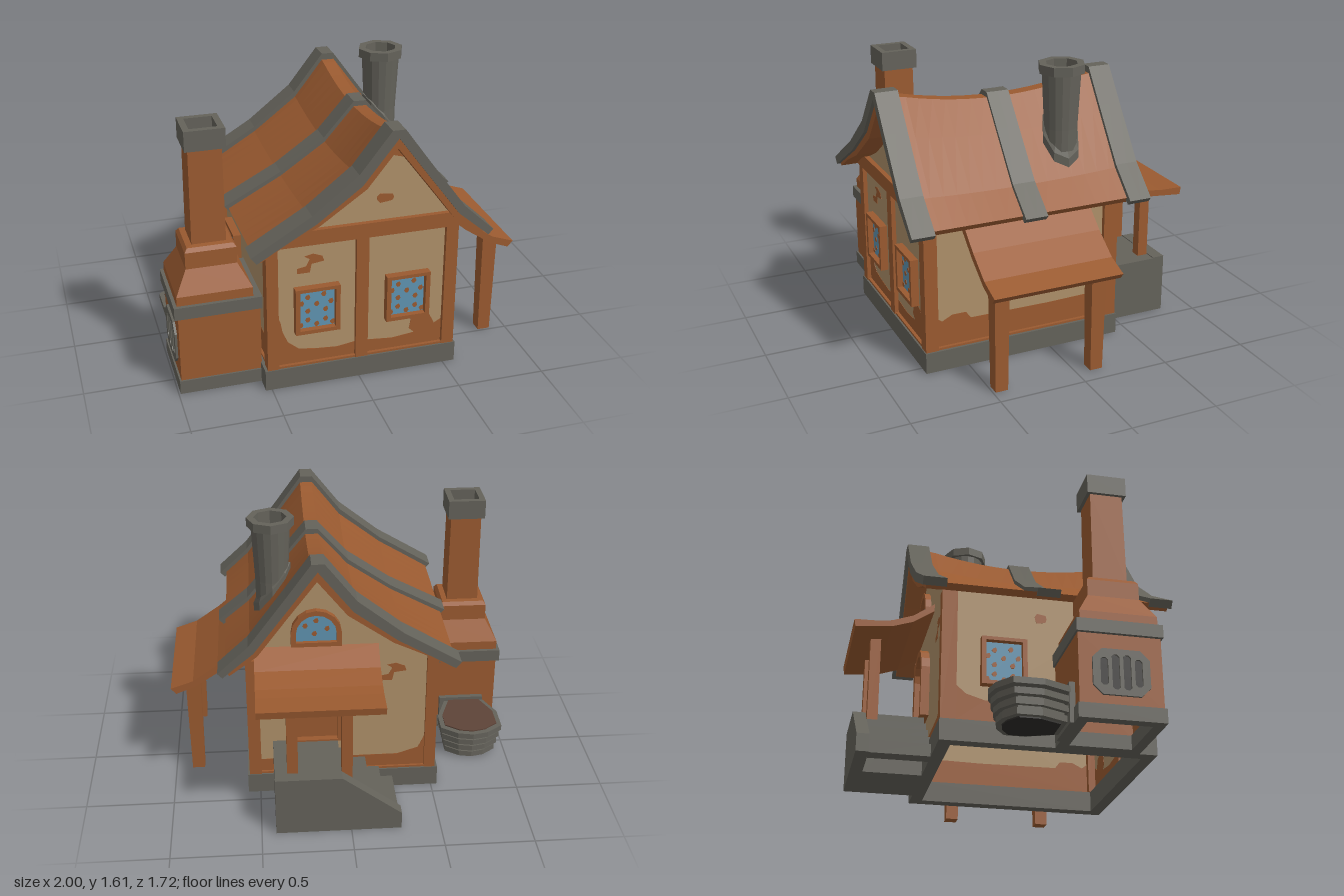
import * as THREE from 'three';

const mat = (name, color) => {
  const m = new THREE.MeshStandardMaterial({ color });
  m.name = name;
  return m;
};

export function createModel() {
  const wood = mat('brown wood', 0x9a5a30), plaster = mat('tan plaster', 0xae9069);
  const stone = mat('grey stone', 0x64625a), glass = mat('blue glass', 0x5f93b0);
  const leather = mat('dark leather', 0x5e4438), soot = mat('soot', 0x2e2c29), ember = mat('ember orange', 0xd8821f);
  const root = new THREE.Group();

  // ---- helpers ----
  const add = (name, geo, material, parent = root) => {
    const m = new THREE.Mesh(geo, material);
    m.name = name;
    parent.add(m);
    return m;
  };
  // box given by its limits
  const box = (name, material, x0, x1, y0, y1, z0, z1, parent = root) => {
    const g = new THREE.BoxGeometry(x1 - x0, y1 - y0, z1 - z0);
    g.translate((x0 + x1) / 2, (y0 + y1) / 2, (z0 + z1) / 2);
    return add(name, g, material, parent);
  };
  const shapeOf = (pts, ...holes) => {
    const s = new THREE.Shape(pts.map(p => new THREE.Vector2(...p)));
    for (const h of holes) s.holes.push(new THREE.Path(h.map(p => new THREE.Vector2(...p))));
    return s;
  };
  const rect = (x0, x1, y0, y1) => [[x0, y0], [x1, y0], [x1, y1], [x0, y1]];
  const slab = (shape, z0, z1, steps = 1) => {
    const g = new THREE.ExtrudeGeometry(shape, { depth: z1 - z0, bevelEnabled: false, steps });
    return g.translate(0, 0, z0);
  };
  // outline in x and -z, raised from y0 to y1
  const raised = (shape, y0, y1) => slab(shape, y0, y1).rotateX(-Math.PI / 2);
  const ring = (name, material, x0, x1, y0, y1, z0, z1, t) =>
    add(name, raised(shapeOf(rect(x0, x1, -z1, -z0), rect(x0 + t, x1 - t, t - z1, -z0 - t)), y0, y1), material);
  const turned = (pts, sides, start = 0, k = 1) => {
    const g = new THREE.LatheGeometry(pts.map(p => new THREE.Vector2(p[0] * k, p[1])), sides, start).toNonIndexed();
    g.computeVertexNormals();
    return g;
  };
  const blob = (cx, cy, rx, ry, n = 9) => Array.from({ length: n }, (_, i) => {
    const a = i / n * Math.PI * 2, r = 1 + 0.15 * Math.sin(i * 2.4);
    return [cx + rx * r * Math.cos(a), cy + ry * r * Math.sin(a)];
  });
  const arch = (cx, w, y0, y1) => {
    const pts = [[cx - w, y0], [cx + w, y0]];
    for (let i = 0; i <= 8; i++) {
      const a = i / 8 * Math.PI;
      pts.push([cx + w * Math.cos(a), y1 - w * (1 - Math.sin(a))]);
    }
    return pts;
  };

  // ---- foundation and frame ----
  ring('foundation', stone, -0.535, 0.57, 0, 0.12, -0.425, 0.75, 0.07);
  ring('sill', wood, -0.515, 0.555, 0.115, 0.132, -0.415, 0.74, 0.03);
  for (const [x0, x1] of [[-0.52, -0.455], [0.49, 0.56]])
    for (const [z0, z1] of [[0.67, 0.745], [-0.42, -0.335]])
      box('cornerPost', wood, x0, x1, 0.12, 0.875, z0, z1);
  box('frontPost', wood, -0.02, 0.05, 0.12, 0.87, 0.7, 0.745);
  add('gableBeam', slab(shapeOf([[-0.56, 0.86], [0.6, 0.86], [0.53, 0.945], [-0.44, 0.945]]), 0.7, 0.748), wood);

  // ---- walls; each side is a group with its own outward z ----
  const side = (name, angle) => {
    const g = new THREE.Group();
    g.name = name;
    g.rotation.y = angle;
    root.add(g);
    return g;
  };
  const front = side('frontWall', 0), back = side('backWall', Math.PI);
  const right = side('rightHandWall', Math.PI / 2), left = side('leftHandWall', -Math.PI / 2);
  const wall = (g, pts, d) => add('plasterWall', slab(shapeOf(pts), d - 0.006, d), plaster, g);
  const patch = (g, pts, d) => add('barePatch', slab(shapeOf(pts), d - 0.0075, d + 0.0018), wood, g);
  const gable = [[-0.5, 0.1], [0.54, 0.1], [0.54, 0.92], [0.45, 1.04], [0.32, 1.21], [0.165, 1.42],
    [0, 1.21], [-0.25, 1.03], [-0.5, 0.9]];
  wall(front, gable, 0.72);
  wall(back, gable.map(([x, y]) => [-x, y]).reverse(), 0.4);
  wall(right, rect(-0.72, 0.4, 0.1, 0.92), 0.535);
  wall(left, rect(-0.4, 0.72, 0.1, 0.92), 0.5);

  // bare patches in the plaster
  patch(front, [[-0.46, 0.12], [-0.02, 0.12], [-0.02, 0.21], [-0.12, 0.195], [-0.25, 0.205], [-0.34, 0.22],
    [-0.4, 0.27], [-0.43, 0.34], [-0.44, 0.4], [-0.46, 0.45]], 0.72);
  patch(front, [[0.04, 0.12], [0.5, 0.12], [0.5, 0.28], [0.45, 0.25], [0.42, 0.31], [0.36, 0.33], [0.31, 0.3],
    [0.3, 0.24], [0.33, 0.21], [0.2, 0.195], [0.04, 0.21]], 0.72);
  const streak = (cx, cy) => [[-0.08, -0.05], [-0.01, -0.05], [0, 0], [0.07, 0.01], [0.06, 0.04], [0.01, 0.06],
    [-0.04, 0.05], [-0.01, 0.03], [-0.03, -0.01], [-0.08, -0.02]].map(([x, y]) => [cx + x, cy + y]);
  patch(front, streak(-0.265, 0.735), 0.72);
  patch(front, blob(0.14, 1.07, 0.05, 0.027), 0.72);
  patch(front, [[0.08, 1.31], [0.13, 1.325], [0.18, 1.31], [0.25, 1.29], [0.165, 1.42]], 0.72);
  patch(right, [[-0.68, 0.12], [0.35, 0.12], [0.35, 0.33], [0.31, 0.31], [0.27, 0.27], [0, 0.265], [-0.47, 0.27],
    [-0.5, 0.31], [-0.58, 0.31], [-0.64, 0.28], [-0.68, 0.31]], 0.535);
  patch(right, blob(0.12, 0.72, 0.04, 0.03), 0.535);
  patch(left, [[-0.35, 0.12], [0.68, 0.12], [0.68, 0.27], [0.1, 0.26], [-0.18, 0.25], [-0.28, 0.28], [-0.35, 0.34]], 0.5);
  patch(left, blob(0.13, 0.76, 0.035, 0.03), 0.5);
  patch(back, [[-0.5, 0.12], [0.46, 0.12], [0.46, 0.34], [0.42, 0.25], [0.3, 0.21], [-0.5, 0.21]], 0.4);
  patch(back, streak(0.27, 0.76), 0.4);

  // ---- windows and door ----
  const opening = (g, name, outer, inner, d, depth, fill) => {
    add(name + 'Frame', slab(shapeOf(outer, inner), d - 0.01, d + depth), wood, g);
    add(name + 'Panel', slab(shapeOf(inner), d + 0.004, d + 0.012), fill, g);
  };
  const spots = (g, cx, cy, d, list) => {
    for (const [x, y] of list) add('windowSpot', slab(shapeOf(blob(cx + x, cy + y, 0.014, 0.017, 6)), d + 0.01, d + 0.015), wood, g);
  };
  const lattice = [[-0.05, 0.07], [0.04, 0.08], [-0.085, 0.035], [0, 0.025], [0.08, 0.03], [-0.05, -0.015],
    [0.05, -0.015], [-0.05, -0.07], [0.05, -0.075], [0, -0.1], [-0.09, -0.1], [0.09, -0.1]];
  const squareWindow = (g, cx, d) => {
    opening(g, 'window', rect(cx - 0.125, cx + 0.125, 0.33, 0.607), rect(cx - 0.1, cx + 0.1, 0.352, 0.587), d, 0.045, glass);
    spots(g, cx, 0.47, d, lattice);
  };
  squareWindow(front, -0.24, 0.72);
  squareWindow(front, 0.275, 0.72);
  squareWindow(left, -0.08, 0.5);
  opening(back, 'atticWindow', arch(-0.165, 0.14, 0.96, 1.18), arch(-0.165, 0.112, 0.985, 1.152), 0.4, 0.035, glass);
  spots(back, -0.165, 1.06, 0.4, [[-0.06, 0.02], [0, 0.05], [0.06, 0], [-0.01, -0.03]]);
  opening(back, 'door', arch(-0.165, 0.15, 0.35, 0.8), arch(-0.165, 0.115, 0.36, 0.765), 0.4, 0.05, wood);

  // ---- sagging roof with stone bands ----
  const roofPiece = (name, pts, material, z0, z1, steps) => {
    const g = slab(shapeOf(pts), z0, z1, steps), p = g.attributes.position;
    for (let i = 0; i < p.count; i++) {
      const t = Math.min(1, Math.abs((p.getZ(i) - 0.16) / 0.57));
      p.setY(i, p.getY(i) - 0.07 * (1 - t * t) * Math.max(0, (p.getY(i) - 0.87) / 0.6));
    }
    g.computeVertexNormals();
    add(name, g, material);
  };
  const tiles = [[-0.6, 0.875], [-0.3, 1.058], [-0.045, 1.255], [0.122, 1.472], [0.195, 1.472], [0.33, 1.285], [0.53, 1.01], [0.67, 0.878],
    [0.645, 0.845], [0.49, 0.96], [0.33, 1.175], [0.163, 1.395], [0, 1.19], [-0.25, 1.015], [-0.44, 0.925], [-0.57, 0.847]].reverse();
  const band = [[-0.625, 0.89], [-0.3, 1.085], [-0.05, 1.283], [0.123, 1.505], [0.193, 1.505], [0.33, 1.315], [0.54, 1.03], [0.71, 0.872],
    [0.683, 0.843], [0.51, 0.99], [0.3, 1.27], [0.16, 1.46], [-0.03, 1.22], [-0.27, 1.04], [-0.595, 0.852]].reverse();
  roofPiece('roof', tiles, wood, -0.52, 0.84, 18);
  for (const [z0, z1] of [[0.73, 0.86], [0.09, 0.22], [-0.54, -0.41]]) roofPiece('roofBand', band, stone, z0, z1, 2);

  // ---- round chimney ----
  const flue = add('chimneyPipe', turned([[0.09, 1.05], [0.092, 1.25], [0.108, 1.57]], 16), stone);
  const cap = add('chimneyCap', turned([[0.1, 1.56], [0.131, 1.56], [0.131, 1.61], [0.09, 1.61], [0.085, 1.35], [0, 1.35]], 8), stone);
  const collarGeo = turned([[0.09, 1.165], [0.106, 1.165], [0.106, 1.215], [0.09, 1.235]], 8);
  const cp = collarGeo.attributes.position;
  for (let i = 0; i < cp.count; i++) cp.setY(i, cp.getY(i) - 1.15 * cp.getX(i));
  collarGeo.computeVertexNormals();
  const collar = add('chimneyCollar', collarGeo, stone);
  for (const m of [flue, cap, collar]) m.position.set(0.395, 0, -0.135);
  for (const z of [-0.185, -0.09]) box('chimneyGlow', ember, 0.36, 0.43, 1.35, 1.358, z - 0.005, z + 0.005);

  // ---- side awning ----
  add('awning', slab(shapeOf([[0.54, 0.84], [0.7, 0.705], [0.85, 0.605], [0.965, 0.56], [0.995, 0.595],
    [0.865, 0.64], [0.72, 0.742], [0.56, 0.88]]), -0.215, 0.53), wood);
  for (const z of [0.45, -0.117]) {
    const g = new THREE.CylinderGeometry(0.061, 0.051, 0.62, 4, 1).toNonIndexed().rotateY(Math.PI / 4);
    g.computeVertexNormals();
    add('awningPost', g, wood).position.set(0.868, 0.31, z);
  }

  // ---- back porch with stairs ----
  box('porchFloor', stone, 0.05, 0.42, 0, 0.345, -0.76, -0.42);
  add('porchWall', slab(shapeOf([[-0.28, 0], [0.42, 0], [0.42, 0.35], [0.05, 0.35], [-0.28, 0.1]]), -0.825, -0.755), stone);
  for (let i = 0; i < 4; i++) box('stair', stone, -0.03 - i * 0.08, 0.06 - i * 0.08, Math.max(0, 0.17 - i * 0.07), 0.28 - i * 0.07, -0.757, -0.42);
  for (const x of [0.02, 0.32]) box('porchPost', wood, x - 0.03, x + 0.03, x < 0.1 ? 0.24 : 0.34, 0.79, -0.75, -0.69);
  // profile runs away from the house, then turned across x
  add('porchRoof', slab(shapeOf([[0.41, 0.91], [0.53, 0.83], [0.65, 0.79], [0.855, 0.772], [0.862, 0.815], [0.72, 0.818],
    [0.65, 0.828], [0.53, 0.87], [0.41, 0.955]]), -0.18, 0.51).rotateY(Math.PI / 2)
    .rotateY(0).applyMatrix4(new THREE.Matrix4().makeTranslation(0, 0, 0)), wood);

  // ---- forge ----
  ring('forgeBase', stone, -0.99, -0.53, 0, 0.08, 0.19, 0.65, 0.06);
  ring('forgeBody', wood, -0.98, -0.53, 0.07, 0.47, 0.2, 0.64, 0.03);
  box('forgeSlab', stone, -1, -0.52, 0.465, 0.537, 0.19, 0.65);
  const q = Math.PI / 4, r2 = Math.SQRT2;
  const hood = add('forgeChimney', turned([[0.208, 0.535], [0.208, 0.59], [0.14, 0.715], [0.14, 0.81], [0.125, 0.832], [0.094, 0.835], [0.09, 1.38]], 4, q, r2), wood);
  const top = add('forgeChimneyCap', turned([[0.085, 1.37], [0.109, 1.37], [0.109, 1.483], [0.075, 1.483], [0.075, 1.4], [0, 1.4]], 4, q, r2), stone);
  for (const m of [hood, top]) m.position.set(-0.773, 0, 0.42);
  const rounded = (cx, cy, w, h, c) => [[cx - w + c, cy - h], [cx + w - c, cy - h], [cx + w, cy - h + c], [cx + w, cy + h - c],
    [cx + w - c, cy + h], [cx - w + c, cy + h], [cx - w, cy + h - c], [cx - w, cy - h + c]];
  const slots = [0.33, 0.39, 0.45, 0.51].map((u, i) => rounded(u, 0.255, 0.02, i % 3 ? 0.095 : 0.075, 0.012));
  add('forgeGrille', slab(shapeOf(rounded(0.42, 0.255, 0.15, 0.125, 0.05), ...slots), 0.978, 0.993), stone, left);
  add('grilleBack', slab(shapeOf(rounded(0.42, 0.255, 0.13, 0.105, 0.04)), 0.976, 0.983), soot, left);
  for (const z of [0.33, 0.42, 0.51]) box('embers', ember, -0.9, -0.62, 0.2, 0.208, z - 0.02, z + 0.02);
  box('bellowsMount', stone, -0.905, -0.635, 0, 0.22, 0.17, 0.205);

  // ---- bellows, ribbed and growing upwards ----
  const outline = [[-0.11, -0.2], [0.11, -0.2], [0.185, 0], [0.185, 0.13], [0.09, 0.2], [0, 0.22], [-0.09, 0.2], [-0.185, 0.13], [-0.185, -0.03]];
  const bellows = (name, material, s, y0, y1) =>
    add(name, raised(shapeOf(outline.map(([x, z]) => [x * s, z * s])), y0, y1), material).position.set(-0.785, 0, 0);
  bellows('bellowsBottom', soot, 0.68, 0.004, 0.012);
  bellows('bellowsCore', stone, 0.76, 0.012, 0.19);
  for (let i = 0; i < 4; i++) bellows('bellowsRib', stone, 0.82 + i * 0.06, 0.012 + i * 0.05, 0.046 + i * 0.05);
  bellows('bellowsTop', leather, 0.85, 0.194, 0.203);

  return root;
}
